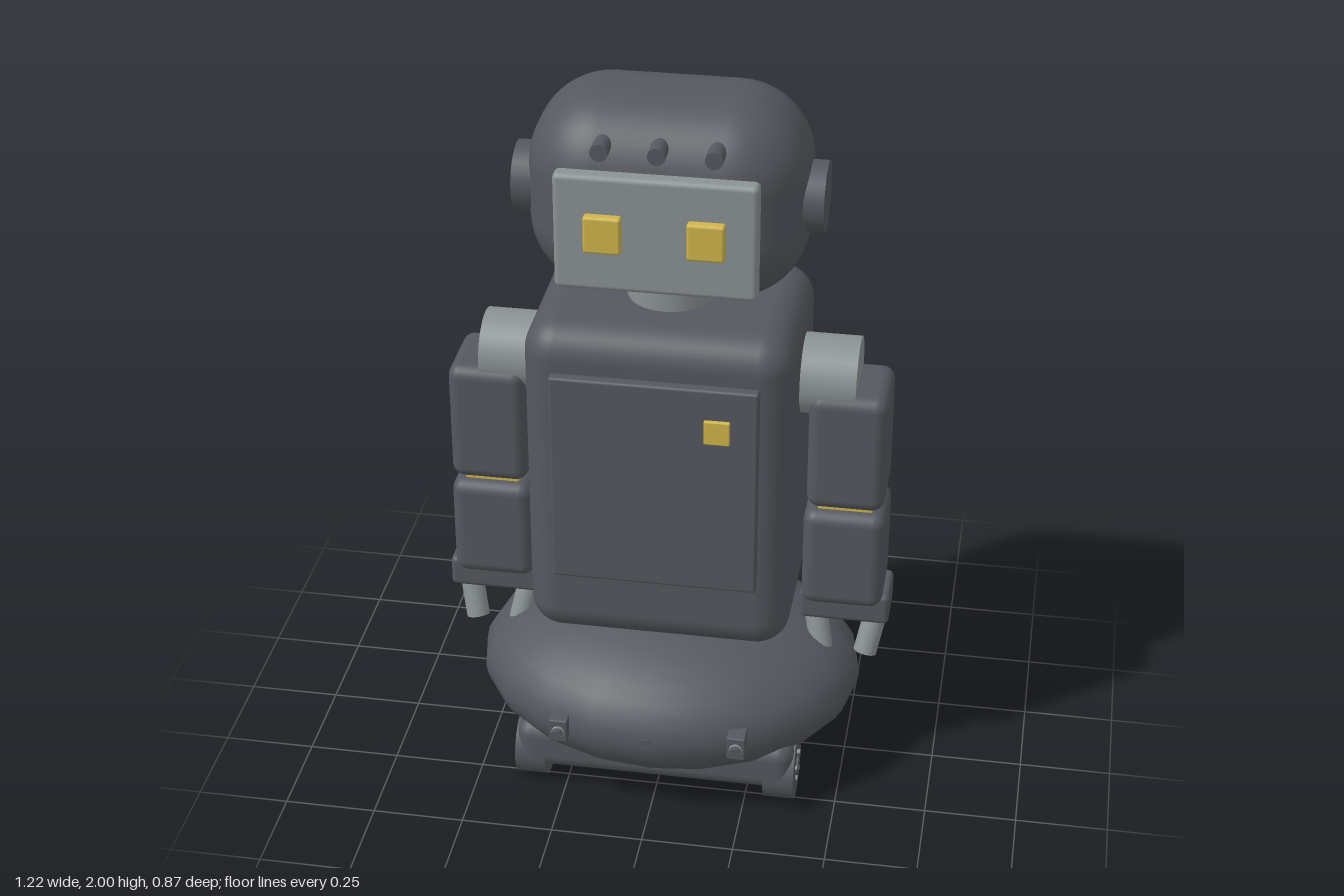
import * as THREE from 'three';
import { RoundedBoxGeometry } from 'three/addons/geometries/RoundedBoxGeometry.js';

function material(name, color) {
  const m = new THREE.MeshStandardMaterial({ color });
  m.name = name;
  return m;
}

export function createModel() {
  const dark = material('dark grey', 0x55585f);
  const light = material('light grey', 0x8b9294);
  const gold = material('gold', 0xd0b54c);
  const root = new THREE.Group();
  root.name = 'robot';

  const add = (name, geometry, mat, x, y, z, parent = root) => {
    const mesh = new THREE.Mesh(geometry, mat);
    mesh.name = name;
    mesh.position.set(x, y, z);
    parent.add(mesh);
    return mesh;
  };
  // Rounded block given by its limits on each axis
  const block = (name, mat, [x0, x1], [y0, y1], [z0, z1], r, parent = root, seg = 3) =>
    add(name, new RoundedBoxGeometry(x1 - x0, y1 - y0, z1 - z0, seg, r), mat,
      (x0 + x1) / 2, (y0 + y1) / 2, (z0 + z1) / 2, parent);
  // Cylinder between two points
  const rod = (name, mat, a, b, r, parent = root, sides = 24) => {
    const from = new THREE.Vector3(...a), to = new THREE.Vector3(...b);
    const dir = to.clone().sub(from);
    const mesh = add(name, new THREE.CylinderGeometry(r, r, dir.length(), sides), mat, 0, 0, 0, parent);
    mesh.position.copy(from).add(to).multiplyScalar(0.5);
    mesh.quaternion.setFromUnitVectors(new THREE.Vector3(0, 1, 0), dir.normalize());
    return mesh;
  };

  // Head, face plate, eyes and forehead studs
  const head = new THREE.Group();
  head.name = 'head';
  root.add(head);
  block('skull', dark, [-0.36, 0.36], [1.46, 2], [-0.245, 0.22], 0.2, head, 8);
  block('facePlate', light, [-0.258, 0.258], [1.545, 1.86], [0.205, 0.255], 0.015, head);
  for (const s of [-1, 1]) {
    block('eye', gold, [s * 0.13 - 0.048, s * 0.13 + 0.048], [1.66, 1.76], [0.25, 0.28], 0.008, head);
    rod('ear', dark, [s * 0.33, 1.73, 0], [s * 0.4, 1.73, 0], 0.092, head);
  }
  for (const x of [-0.143, 0, 0.143])
    rod('foreheadStud', dark, [x, 1.913, 0.12], [x, 1.913, 0.232], 0.023, head, 16);
  rod('neck', light, [0, 1.38, 0], [0, 1.52, 0], 0.115);

  // Torso with front panel and indicator
  block('torso', dark, [-0.353, 0.353], [0.485, 1.425], [-0.275, 0.268], 0.09, root, 5);
  block('chestPanel', dark, [-0.272, 0.272], [0.7, 1.305], [0.25, 0.295], 0.008);
  block('chestIndicator', gold, [0.132, 0.2], [1.152, 1.22], [0.285, 0.305], 0.004);

  // Arms
  for (const s of [-1, 1]) {
    const arm = new THREE.Group();
    arm.name = s > 0 ? 'leftArm' : 'rightArm';
    root.add(arm);
    const span = (a, b) => (s > 0 ? [a, b] : [-b, -a]);
    rod('shoulder', light, [s * 0.345, 1.217, 0], [s * 0.5, 1.217, 0], 0.107, arm, 32);
    block('upperArm', dark, span(0.378, 0.587), [0.862, 1.205], [-0.115, 0.115], 0.035, arm);
    block('elbowBand', gold, span(0.408, 0.555), [0.825, 0.88], [-0.075, 0.075], 0.005, arm);
    block('forearm', dark, span(0.371, 0.592), [0.55, 0.845], [-0.108, 0.108], 0.035, arm);
    block('wrist', dark, span(0.366, 0.611), [0.485, 0.575], [-0.075, 0.075], 0.015, arm);
    rod('outerFinger', light, [s * 0.58, 0.52, -0.012], [s * 0.548, 0.365, 0.035], 0.032, arm, 16);
    rod('innerFinger', light, [s * 0.395, 0.52, -0.012], [s * 0.427, 0.365, 0.035], 0.032, arm, 16);
  }

  // Wide oval base
  const oval = add('base', new THREE.SphereGeometry(1, 20, 20), dark, 0, 0.265, 0);
  oval.scale.set(0.533, 0.228, 0.435);

  // Chassis and four wheels
  block('chassis', dark, [-0.387, 0.387], [0.06, 0.205], [-0.318, 0.318], 0.045);
  for (const s of [-1, 1]) for (const z of [-0.225, 0.225]) {
    const wheel = new THREE.Group();
    wheel.name = 'wheel';
    root.add(wheel);
    rod('tyre', dark, [s * 0.305, 0.093, z], [s * 0.389, 0.093, z], 0.093, wheel, 24);
    rod('hub', dark, [s * 0.38, 0.1, z], [s * 0.394, 0.1, z], 0.022, wheel, 12);
    for (let i = 0; i < 5; i++) {
      const a = Math.PI / 2 + (i * Math.PI * 2) / 5;
      const y = 0.1 + Math.sin(a) * 0.04, dz = Math.cos(a) * 0.04;
      rod('wheelBolt', light, [s * 0.38, y, z + dz], [s * 0.394, y, z + dz], 0.007, wheel, 8);
    }
  }

  // Front sensors
  for (const x of [-0.243, 0, 0.243]) {
    block('sensorBox', dark, [x - 0.025, x + 0.025], [0.24, 0.31], [0.36, 0.418], 0.004);
    rod('sensorKnob', x ? light : dark, [x, 0.275, 0.41], [x, 0.275, 0.424], 0.018, root, 12);
    rod('sensorLens', dark, [x, 0.275, 0.42], [x, 0.275, 0.437], 0.016, root, 12);
  }
  return root;
}
